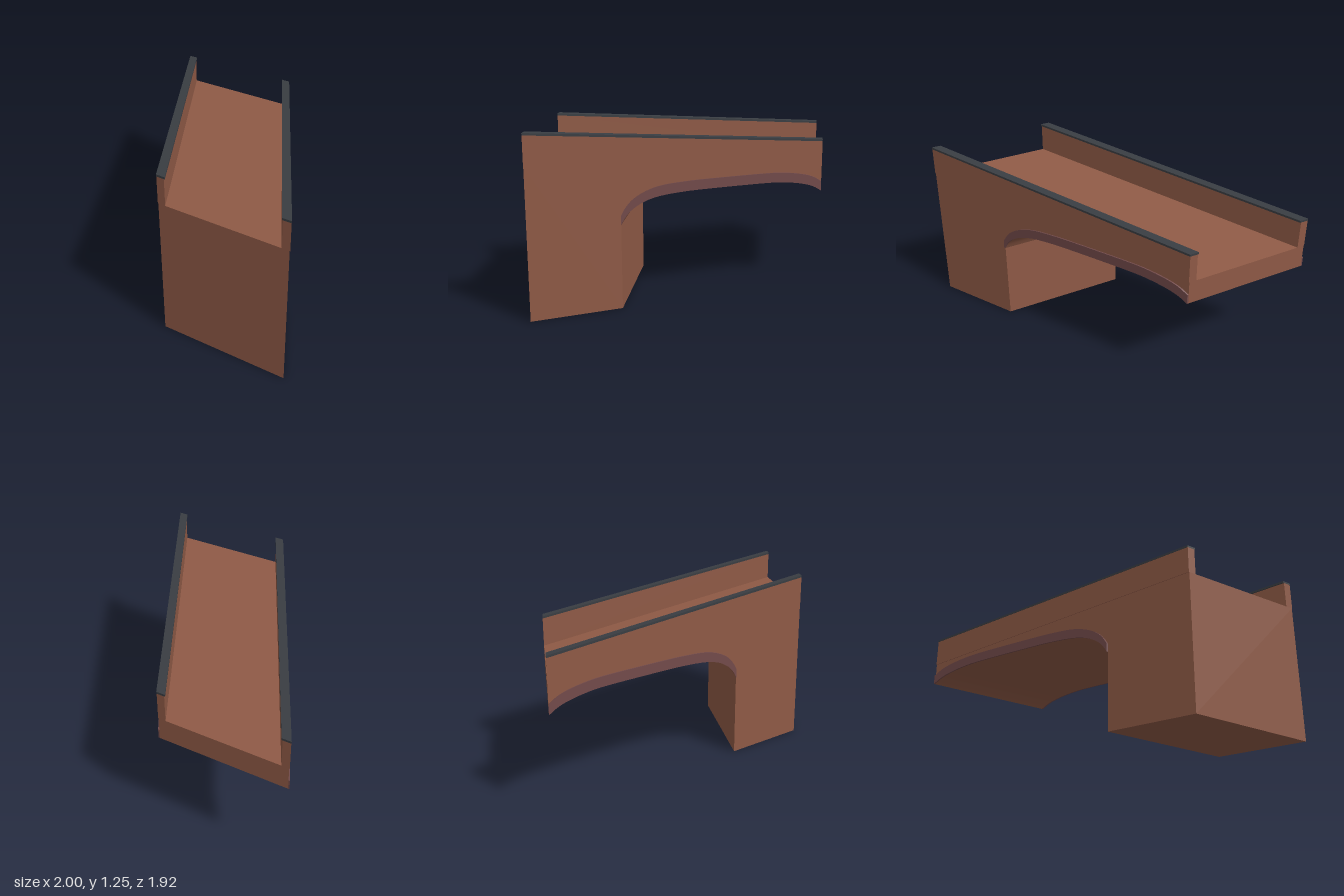
import * as THREE from 'three';
import { toCreasedNormals } from 'three/addons/utils/BufferGeometryUtils.js';

const WIDTH = 0.94;
const FRONT = 0.96;
const BACK = -0.96;
// x of the left-hand wall face at depth z (the bridge runs at a skew)
const edgeX = (z) => 0.05 + (z - FRONT) * 0.5417;

// Extrudes a side profile of [z, y] points across u0..u1 and skews it along the bridge
function skewPrism(profile, u0, u1) {
  const shape = new THREE.Shape(profile.map(([z, y]) => new THREE.Vector2(-z, y)));
  const geo = new THREE.ExtrudeGeometry(shape, { depth: u1 - u0, bevelEnabled: false });
  geo.rotateY(Math.PI / 2);
  const p = geo.attributes.position;
  for (let i = 0; i < p.count; i++) p.setX(i, p.getX(i) + u0 + edgeX(p.getZ(i)));
  geo.computeVertexNormals();
  return toCreasedNormals(geo, 0.3);
}

// Smooth curve through [z, y] points
function smooth(points, n = 32) {
  return new THREE.SplineCurve(points.map((p) => new THREE.Vector2(...p)))
    .getPoints(n).map((v) => [v.x, v.y]);
}

// Sloping band between two heights above the deck line
function slopeBand(low, high) {
  return [[FRONT, 1.04 + low], [FRONT, 1.04 + high], [BACK, 0.857 + high], [BACK, 0.857 + low]];
}

export function createModel() {
  const brick = new THREE.MeshStandardMaterial({ name: 'brick', color: 0x8f5a46 });
  const archBrick = new THREE.MeshStandardMaterial({ name: 'dark arch brick', color: 0x724a4a });
  const slate = new THREE.MeshStandardMaterial({ name: 'slate coping', color: 0x393d42 });

  const model = new THREE.Group();
  model.name = 'skewBridgeSection';
  const add = (name, profile, u0, u1, material) => {
    const mesh = new THREE.Mesh(skewPrism(profile, u0, u1), material);
    mesh.name = name;
    model.add(mesh);
  };

  // Underside of the arch, and the outer line of its brick ring
  const soffit = smooth([
    [0.4, 0.59], [0.37, 0.645], [0.33, 0.69], [0.27, 0.73], [0.2, 0.757], [0.12, 0.772], [0, 0.782],
    [-0.15, 0.786], [-0.55, 0.786], [-0.7, 0.777], [-0.82, 0.755], [-0.9, 0.728], [-0.96, 0.69],
  ]);
  const ringTop = smooth([
    [0.4, 0.655], [0.37, 0.71], [0.33, 0.757], [0.27, 0.797], [0.2, 0.826], [0.12, 0.843], [0, 0.852],
    [-0.15, 0.856], [-0.55, 0.856], [-0.7, 0.847], [-0.82, 0.826], [-0.9, 0.799], [-0.96, 0.76],
  ]);

  // Pier, deck and arch underside in one solid
  add('pierAndDeck', [[FRONT, 0], [FRONT, 1.04], [BACK, 0.857], ...[...soffit].reverse(), [0.4, 0]], 0, WIDTH, brick);

  // Matching ring, parapet and coping on both sides
  const ring = [...soffit, ...[...ringTop].reverse()];
  const both = (name, profile, u0, u1, material) => {
    add('right' + name, profile, u0, u1, material);
    add('left' + name, profile, WIDTH - u1, WIDTH - u0, material);
  };
  both('ArchRing', ring, -0.01, 0, archBrick);
  both('Parapet', slopeBand(0, 0.2), -0.004, 0.053, brick);
  both('Coping', slopeBand(0.2, 0.215), -0.006, 0.06, slate);

  return model;
}
